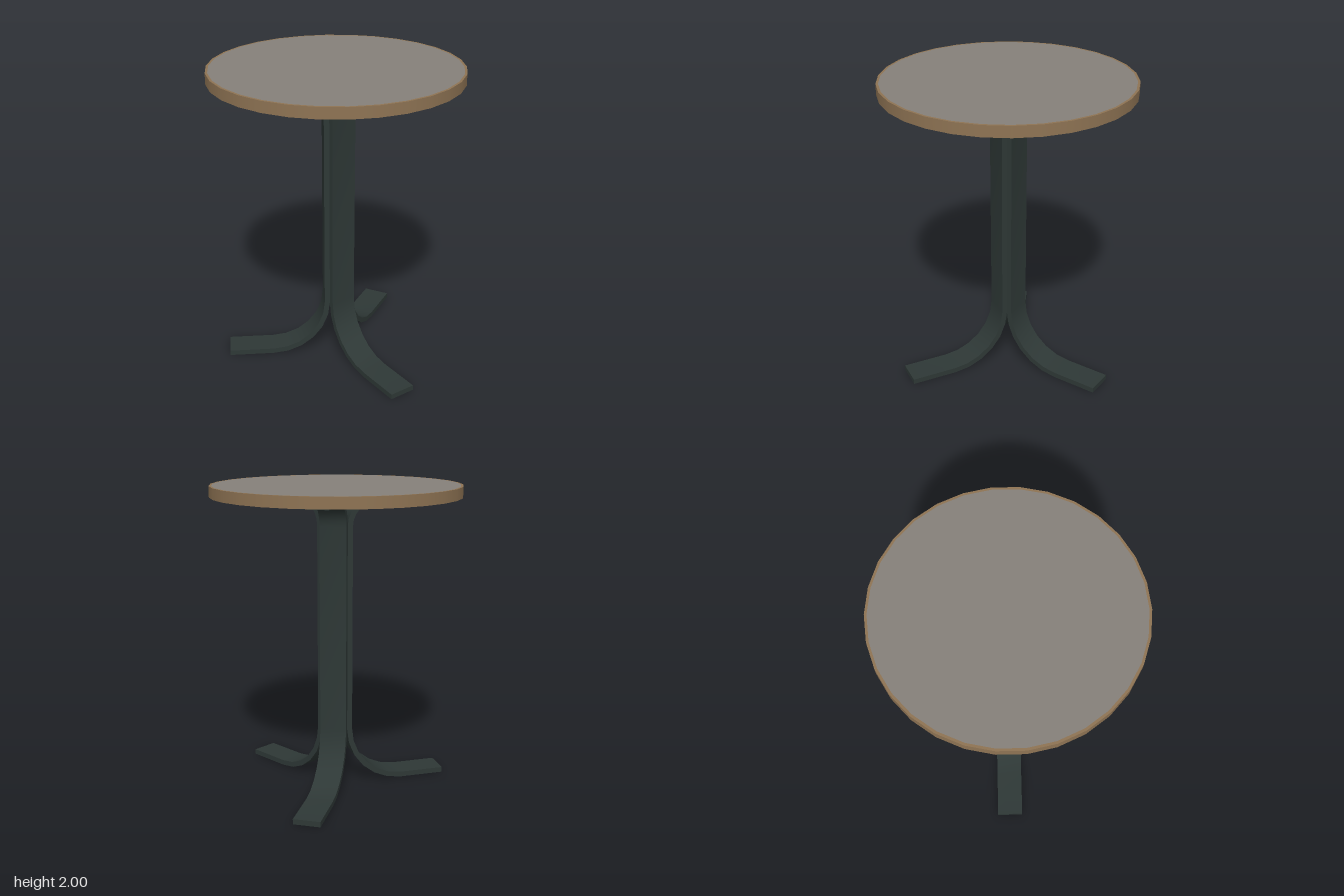
import * as THREE from 'three';
import { toCreasedNormals } from 'three/addons/utils/BufferGeometryUtils.js';

const topGrey = new THREE.MeshStandardMaterial({ name: 'top grey', color: 0x86817a });
const edgeBrown = new THREE.MeshStandardMaterial({ name: 'edge brown', color: 0x8f7454 });
const legGreen = new THREE.MeshStandardMaterial({ name: 'leg dark green', color: 0x2e3836 });

const R = 0.8, SIDES = 30, UNDER = 1.93, TOP = 2;
const WIDTH = 0.176, THICK = 0.035, INNER = 0.05;

function add(parent, name, geometry, material) {
  const mesh = new THREE.Mesh(geometry, material);
  mesh.name = name;
  parent.add(mesh);
  return mesh;
}

// Side profile of a bent strip: x runs outward, y runs up
function legGeometry() {
  const footR = 0.39, headR = 0.19, footTip = 0.74, headTip = 0.52;
  const pts = [];
  const arc = (cx, cy, r, from, to, n) => {
    for (let i = 0; i <= n; i++) {
      const a = THREE.MathUtils.degToRad(from + ((to - from) * i) / n);
      pts.push(new THREE.Vector2(cx + r * Math.cos(a), cy + r * Math.sin(a)));
    }
  };
  const fx = INNER + footR, hx = INNER + headR, hy = UNDER - headR;
  // hidden face, from the foot tip up to the head tip
  pts.push(new THREE.Vector2(footTip, 0));
  arc(fx, footR, footR, 270, 180, 6);
  arc(hx, hy, headR, 180, 90, 6);
  pts.push(new THREE.Vector2(headTip, UNDER));
  // outer face, back down to the foot tip
  pts.push(new THREE.Vector2(headTip, UNDER - THICK));
  arc(hx, hy, headR - THICK, 90, 180, 6);
  arc(fx, footR, footR - THICK, 180, 270, 6);
  pts.push(new THREE.Vector2(footTip, THICK));

  const geometry = new THREE.ExtrudeGeometry(new THREE.Shape(pts), { depth: WIDTH, bevelEnabled: false });
  geometry.translate(0, 0, -WIDTH / 2);
  geometry.rotateY(-Math.PI / 2); // outward becomes +z
  return toCreasedNormals(geometry, 0.6);
}

export function createModel() {
  const model = new THREE.Group();
  model.name = 'pedestalTable';

  // Table top: brown edge, grey faces, thin brown border on the upper face
  const tableTop = new THREE.Group();
  tableTop.name = 'tableTop';
  model.add(tableTop);
  const edge = new THREE.CylinderGeometry(R, R, TOP - UNDER, SIDES, 1, true, Math.PI / 2);
  add(tableTop, 'edgeBand', edge, edgeBrown).position.y = (TOP + UNDER) / 2;
  const up = -Math.PI / 2;
  add(tableTop, 'topBorder', new THREE.RingGeometry(R - 0.015, R, SIDES).rotateX(up), edgeBrown).position.y = TOP;
  add(tableTop, 'topFace', new THREE.CircleGeometry(R - 0.015, SIDES).rotateX(up), topGrey).position.y = TOP;
  add(tableTop, 'underside', new THREE.CircleGeometry(R, SIDES).rotateX(-up), topGrey).position.y = UNDER;

  // Three bent strips, back to back around a triangular core
  const geometry = legGeometry();
  ['frontLeg', 'leftLeg', 'rightLeg'].forEach((name, i) => {
    add(model, name, geometry, legGreen).rotation.y = (i * Math.PI * 2) / 3;
  });
  return model;
}
